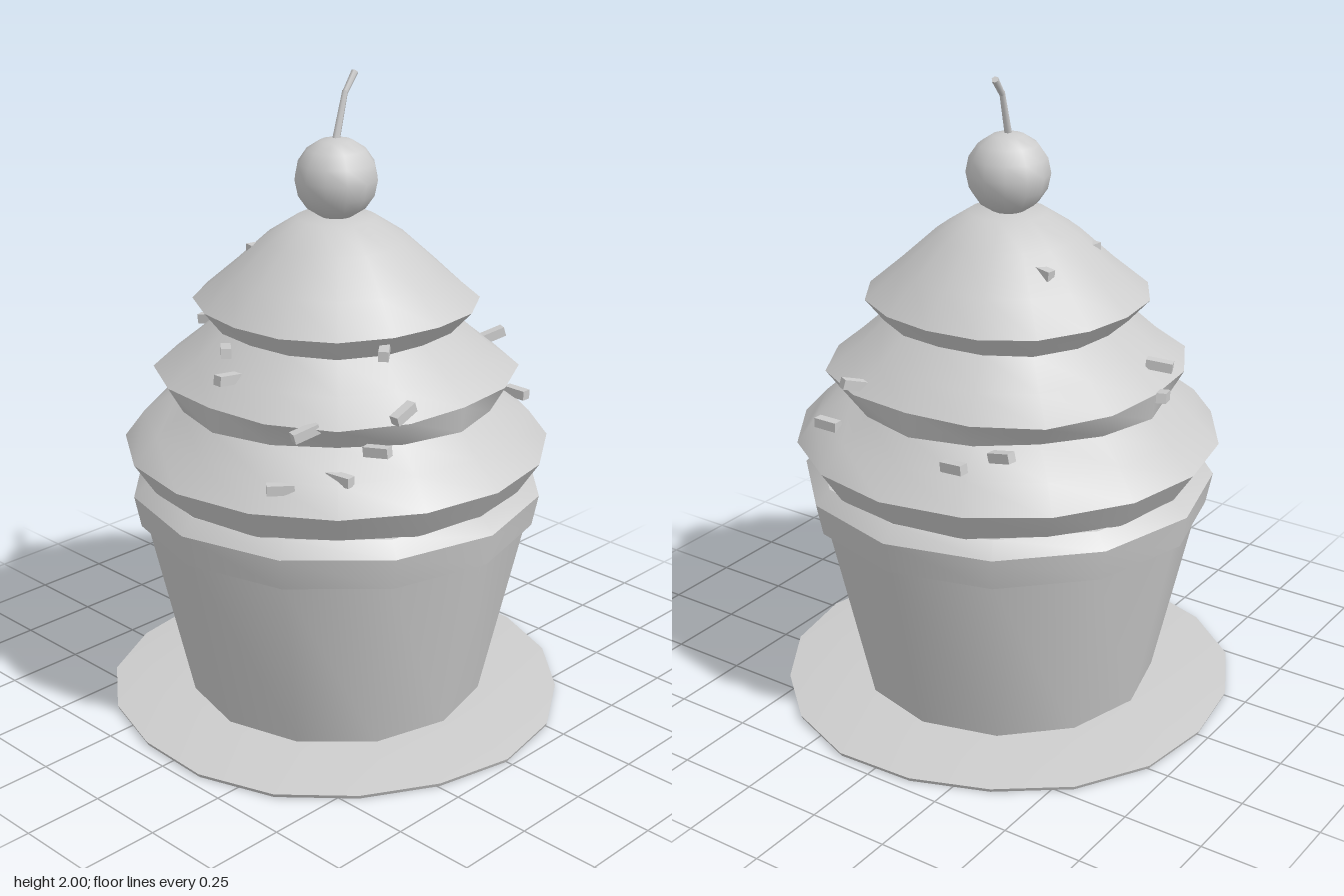
import * as THREE from 'three';
import { mergeVertices, toCreasedNormals } from 'three/addons/utils/BufferGeometryUtils.js';

const clay = new THREE.MeshStandardMaterial({ color: 0xcccccc });
clay.name = 'light grey';

// Revolved profile [radius, height], optionally reshaped by rule(angle, row) -> [radius offset, height offset]
function turned(name, profile, sides, rule, crease = 0.6) {
  let geo = new THREE.LatheGeometry(profile.map(([r, y]) => new THREE.Vector2(r, y)), sides);
  const p = geo.attributes.position;
  if (rule) {
    for (let i = 0; i < p.count; i++) {
      const row = i % profile.length;
      const [r, y] = profile[row];
      if (r === 0) continue;
      const a = (Math.floor(i / profile.length) % sides) / sides * Math.PI * 2;
      const [dr, dy] = rule(a, row);
      p.setXYZ(i, Math.sin(a) * (r + dr), y + dy, Math.cos(a) * (r + dr));
    }
  }
  geo.deleteAttribute('normal');
  geo.deleteAttribute('uv');
  geo = toCreasedNormals(mergeVertices(geo, 1e-4), crease);
  const mesh = new THREE.Mesh(geo, clay);
  mesh.name = name;
  return mesh;
}

// Straight round rod between two points
function rod(name, a, b, r0, r1) {
  const from = new THREE.Vector3(...a), dir = new THREE.Vector3(...b).sub(from);
  const mesh = new THREE.Mesh(new THREE.CylinderGeometry(r1, r0, dir.length(), 6), clay);
  mesh.position.copy(from).addScaledVector(dir, 0.5);
  mesh.quaternion.setFromUnitVectors(new THREE.Vector3(0, 1, 0), dir.normalize());
  mesh.name = name;
  return mesh;
}

export function createModel() {
  const group = new THREE.Group();
  group.name = 'cupcake';

  // Thin plate with a slightly uneven rim
  group.add(turned('plate',
    [[0, 0], [0.72, 0], [0.725, 0.012], [0.5, 0.038], [0, 0.038]], 18,
    (a, row) => row === 1 || row === 2 ? [0.008 * Math.sin(5 * a + 1), 0] : [0, 0]));

  // Tapered cup, overhanging band and inner slope
  group.add(turned('cup',
    [[0.47, 0.03], [0.605, 0.63], [0.625, 0.63], [0.645, 0.73], [0.6, 0.775], [0, 0.8]], 12));

  // Three frosting tiers whose overhangs swell and fade around the cake
  const wave = (a, shift = 0) => Math.cos(4 * a + shift);
  group.add(turned('frosting',
    [[0.5, 0.78], [0.595, 0.77], [0.66, 0.87], [0.585, 0.95], [0.5, 1.02],
      [0.545, 1.1], [0.46, 1.17], [0.37, 1.25], [0.43, 1.32], [0.33, 1.41],
      [0.22, 1.51], [0.12, 1.575], [0, 1.58]], 16,
    (a, row) => {
      if (row < 2) return [-0.012 * wave(a), -0.015 * wave(a)];
      if (row === 3) return [-0.015 * wave(a), 0];
      if (row === 4) return [0.015 * wave(a), 0];
      if (row === 5) return [-0.02 * wave(a), 0];
      if (row === 6) return [-0.01 * wave(a), 0];
      if (row === 7) return [-0.012 * wave(a), 0];
      if (row === 8) return [-0.01 * wave(a, 0.5), 0];
      return [0, 0];
    }, 0.7));

  // Cherry and bent stem
  const cherry = new THREE.Mesh(new THREE.SphereGeometry(0.128, 12, 8), clay);
  cherry.name = 'cherry';
  cherry.position.y = 1.692;
  cherry.scale.y = 0.97;
  group.add(cherry);
  group.add(rod('lowerStem', [0, 1.81, 0], [0.05, 1.945, -0.012], 0.012, 0.009));
  group.add(rod('upperStem', [0.05, 1.94, -0.012], [0.103, 1.993, -0.024], 0.009, 0.011));

  // Sprinkles: x, y, z, then the long axis direction
  const sprinkles = [
    [-0.08, 1.16, -0.49, 0.03, 0.01, 0.08], [0, 1.1, -0.55, 0.08, 0.02, -0.03],
    [-0.12, 1.46, -0.21, 0.08, 0, 0.015], [0.14, 1.46, -0.21, 0.01, -0.01, -0.08],
    [0.46, 1.01, -0.29, 0.01, 0.02, -0.08], [0.54, 0.98, -0.18, 0.01, 0.01, -0.08],
    [-0.42, 1.24, -0.04, 0.06, -0.01, -0.07], [0.495, 1.13, 0.21, 0.06, 0.02, 0.03],
    [0.48, 0.97, 0.33, 0, 0, 0.08], [-0.47, 1.18, 0.02, 0.08, -0.01, 0],
    [-0.52, 0.93, 0.29, 0.06, 0, 0.05], [-0.45, 1.09, 0.32, 0.07, 0.02, 0.025],
    [-0.4, 0.96, 0.41, 0.01, 0, 0.08], [-0.19, 1.28, 0.38, 0.06, 0, -0.05],
    [-0.22, 1.13, 0.485, 0.08, 0.03, 0], [-0.3, 1.03, 0.46, 0.02, 0.01, 0.08],
  ];
  const bar = new THREE.BoxGeometry(0.03, 0.03, 0.08);
  for (const [x, y, z, dx, dy, dz] of sprinkles) {
    const sprinkle = new THREE.Mesh(bar, clay);
    sprinkle.name = 'sprinkle';
    sprinkle.position.set(x, y, z);
    sprinkle.lookAt(x + dx, y + dy, z + dz);
    group.add(sprinkle);
  }
  return group;
}
